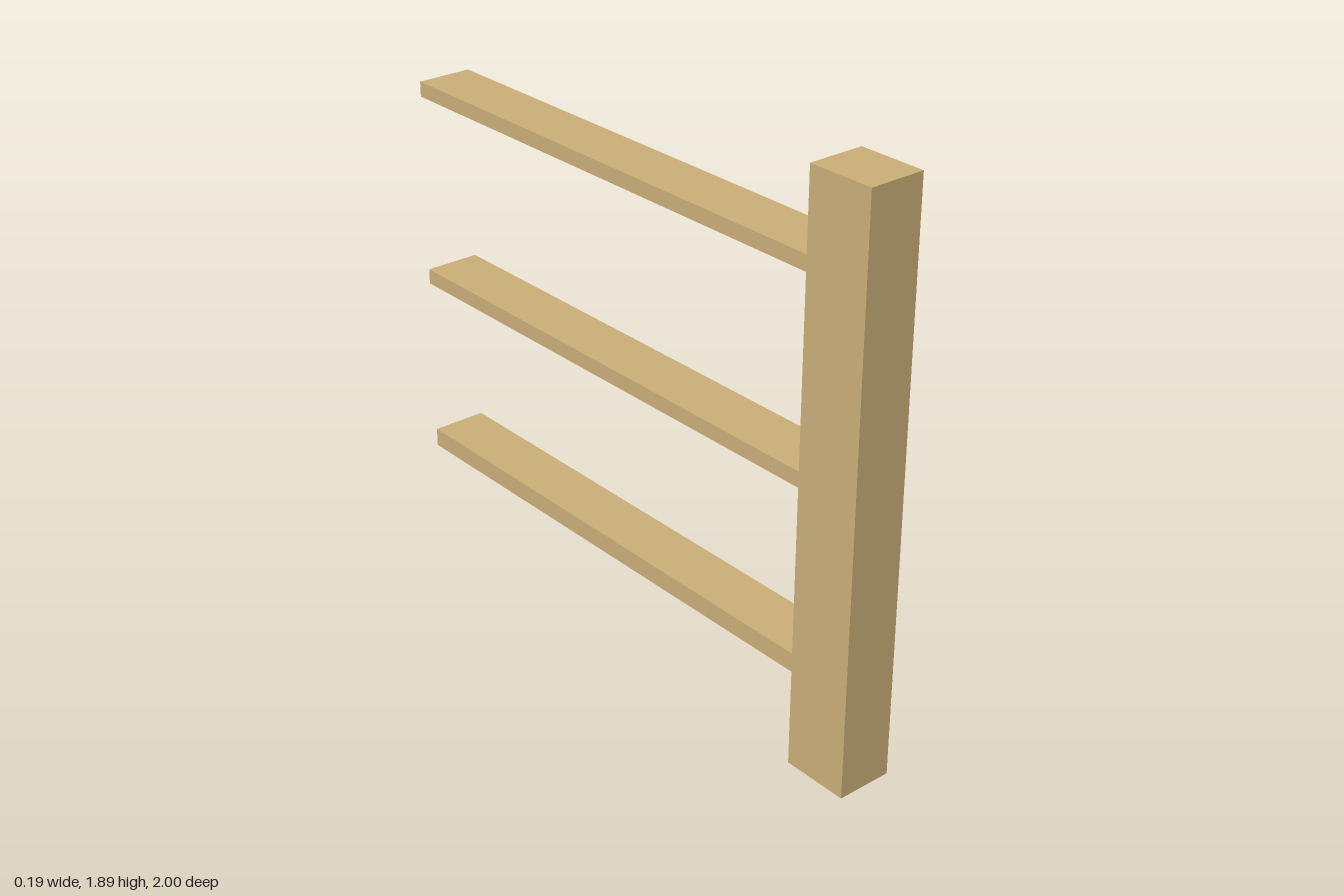
import * as THREE from 'three';

export function createModel() {
  const model = new THREE.Group();
  model.name = 'fenceSection';

  const wood = new THREE.MeshStandardMaterial({ color: 0xc9ae78 });
  wood.name = 'light wood';

  const width = 0.186;
  const postHeight = 1.89;
  const postBack = 0.777;

  // Box spanning the given y and z ranges, centred on x
  function addBeam(name, y0, y1, z0, z1) {
    const beam = new THREE.Mesh(new THREE.BoxGeometry(width, y1 - y0, z1 - z0), wood);
    beam.name = name;
    beam.position.set(0, (y0 + y1) / 2, (z0 + z1) / 2);
    model.add(beam);
  }

  // Upright post at the front
  addBeam('post', 0, postHeight, postBack, 1);

  // Three rails running back from the post
  const rails = [
    ['lowerRail', 0.322, 0.384],
    ['middleRail', 0.932, 0.983],
    ['upperRail', 1.584, 1.634],
  ];
  for (const [name, bottom, top] of rails) addBeam(name, bottom, top, -1, postBack);

  return model;
}
